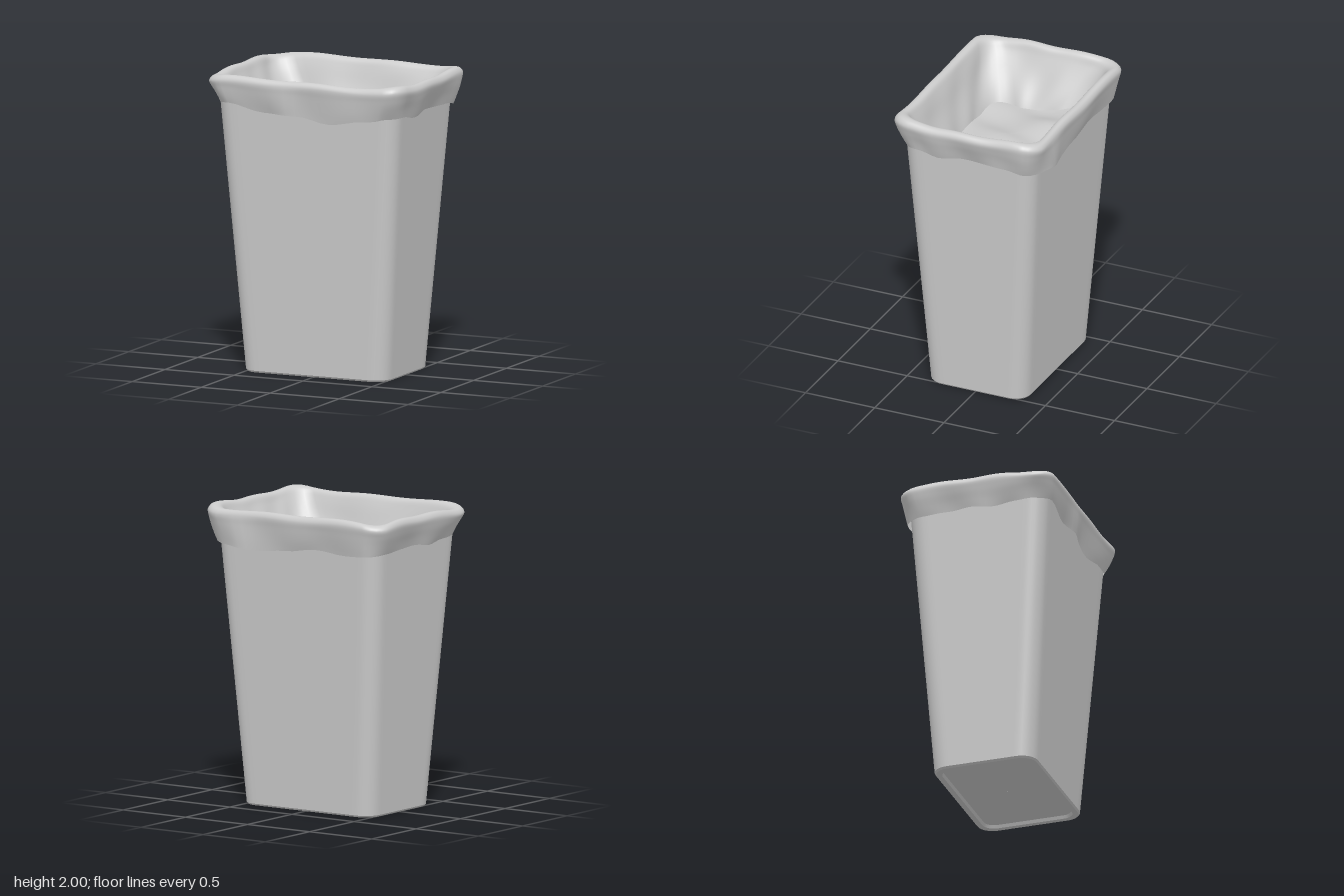
import * as THREE from 'three';
import { toCreasedNormals } from 'three/addons/utils/BufferGeometryUtils.js';

const CORNER = 6, SIDE = 18, QUARTER = CORNER + SIDE, N = QUARTER * 4;

// Rounded rectangle in the xz plane: N points running from +x towards +z
function ring(hx, hz, r, y) {
  const corner = (k, i) => {
    const a = (k + i / CORNER) * Math.PI / 2;
    const sx = k === 0 || k === 3 ? 1 : -1, sz = k < 2 ? 1 : -1;
    return new THREE.Vector3(sx * (hx - r) + r * Math.cos(a), y, sz * (hz - r) + r * Math.sin(a));
  };
  const pts = [];
  for (let k = 0; k < 4; k++) {
    for (let i = 0; i < CORNER; i++) pts.push(corner(k, i));
    const a = corner(k, CORNER), b = corner((k + 1) % 4, 0);
    for (let i = 0; i < SIDE; i++) pts.push(a.clone().lerp(b, i / SIDE));
  }
  return pts;
}

// Skin through a list of rings
function loft(rings) {
  const pos = [], idx = [];
  rings.forEach(r => r.forEach(p => pos.push(p.x, p.y, p.z)));
  for (let i = 0; i < rings.length - 1; i++) {
    for (let j = 0; j < N; j++) {
      const a = i * N + j, b = i * N + (j + 1) % N;
      idx.push(a, a + N, b, b, a + N, b + N);
    }
  }
  const g = new THREE.BufferGeometry();
  g.setAttribute('position', new THREE.Float32BufferAttribute(pos, 3));
  g.setIndex(idx);
  g.computeVertexNormals();
  return g;
}

// Hem height around the cuff: corner and side knots, front, -x, back, +x
const HEM = [
  1.78, 1.775, 1.75, 1.715, 1.755, 1.76,
  1.81, 1.80, 1.79, 1.77, 1.79, 1.78,
  1.77, 1.76, 1.75, 1.77, 1.74, 1.72,
  1.74, 1.75, 1.77, 1.775, 1.78, 1.755,
];
function hemHeight(j) {
  const u = j / N * HEM.length, i = Math.floor(u);
  const f = (1 - Math.cos((u - i) * Math.PI)) / 2;
  return THREE.MathUtils.lerp(HEM[i], HEM[(i + 1) % HEM.length], f);
}

const bump = (v, c, w) => Math.exp(-(((v - c) / w) ** 2));

// Level of the rubbish inside, a little higher at the back
const fillLevel = (x, z) => 1.645 - 0.11 * z
  + 0.02 * Math.sin(7 * x + 1) * Math.cos(6 * z)
  + 0.025 * bump(x, -0.2, 0.16) * bump(z, -0.2, 0.2)
  + 0.012 * Math.sin(17 * x + 9 * z);

export function createModel() {
  const group = new THREE.Group();
  const grey = new THREE.MeshStandardMaterial({ color: 0xcccccc });
  const cloth = new THREE.MeshStandardMaterial({ color: 0xcccccc, side: THREE.DoubleSide });
  const add = (name, geometry, material) => {
    const mesh = new THREE.Mesh(geometry, material);
    mesh.name = name;
    group.add(mesh);
  };

  // Tapered bin with a recessed base and an inner wall: [hx, hz, radius, y]
  const binProfile = [
    [0.001, 0.001, 0.0005, 0.02], [0.465, 0.3, 0.07, 0.02], [0.475, 0.31, 0.08, 0],
    [0.51, 0.345, 0.1, 0], [0.522, 0.355, 0.11, 0.012], [0.66, 0.483, 0.11, 1.94],
    [0.642, 0.465, 0.1, 1.94], [0.508, 0.341, 0.09, 0.05], [0.001, 0.001, 0.0005, 0.05],
  ];
  add('bin', toCreasedNormals(loft(binProfile.map(p => ring(...p))), 0.6), grey);

  // Bag liner: from the hem up the cuff, over the rim and down inside (hx, y, hz)
  const linerPath = new THREE.CatmullRomCurve3([
    [0.662, 1.77, 0.488], [0.682, 1.83, 0.505], [0.706, 1.9, 0.522], [0.716, 1.95, 0.532],
    [0.7, 1.978, 0.518], [0.675, 1.985, 0.494], [0.65, 1.972, 0.468], [0.625, 1.92, 0.444],
    [0.56, 1.8, 0.405], [0.47, 1.65, 0.345], [0.42, 1.54, 0.31],
  ].map(p => new THREE.Vector3(...p)));
  const linerRings = [];
  for (let i = 0; i <= 44; i++) {
    const t = i / 44, s = linerPath.getPoint(t);
    const cuff = t < 0.45 ? THREE.MathUtils.clamp((1.95 - s.y) / 0.18, 0, 1) : 0;
    const top = THREE.MathUtils.smoothstep(s.y, 1.85, 1.98);
    const inside = t > 0.6 ? (t - 0.6) / 0.4 : 0;
    linerRings.push(ring(s.x, s.z, 0.13 + 0.03 * inside, s.y).map((p, j) => {
      const a = j / N * Math.PI * 2, { x, z } = p;
      // Creases, rim waves and two folds standing away from the bin
      const crease = 0.006 * Math.sin(7 * a + 9 * s.y) + 0.004 * Math.sin(13 * a - 14 * s.y);
      const fold = z > 0 ? 0.03 * bump(x, -0.13, 0.1) : 0.045 * bump(x, 0.43, 0.12);
      const out = crease * (0.4 + 0.8 * inside + 0.6 * cuff);
      p.x += Math.sign(x) * Math.min(1, Math.abs(x) / 0.4) * out;
      p.z += Math.sign(z) * Math.min(1, Math.abs(z) / 0.3) * (out + fold * cuff);
      p.y += cuff * (hemHeight(j) - 1.77)
        + top * (0.007 * Math.sin(5 * a + 1) + 0.006 * Math.sin(9 * a));
      return p;
    }));
  }
  add('binLiner', loft(linerRings), cloth);

  // Lumpy top of the contents, meeting the liner walls
  const fillRings = [];
  for (let i = 0; i <= 12; i++) {
    const t = Math.max(0.002, 1 - i / 12);
    fillRings.push(ring(0.485 * t, 0.365 * t, 0.13 * t, 0).map(p => {
      p.y = fillLevel(p.x, p.z);
      return p;
    }));
  }
  add('contents', loft(fillRings), cloth);

  return group;
}
